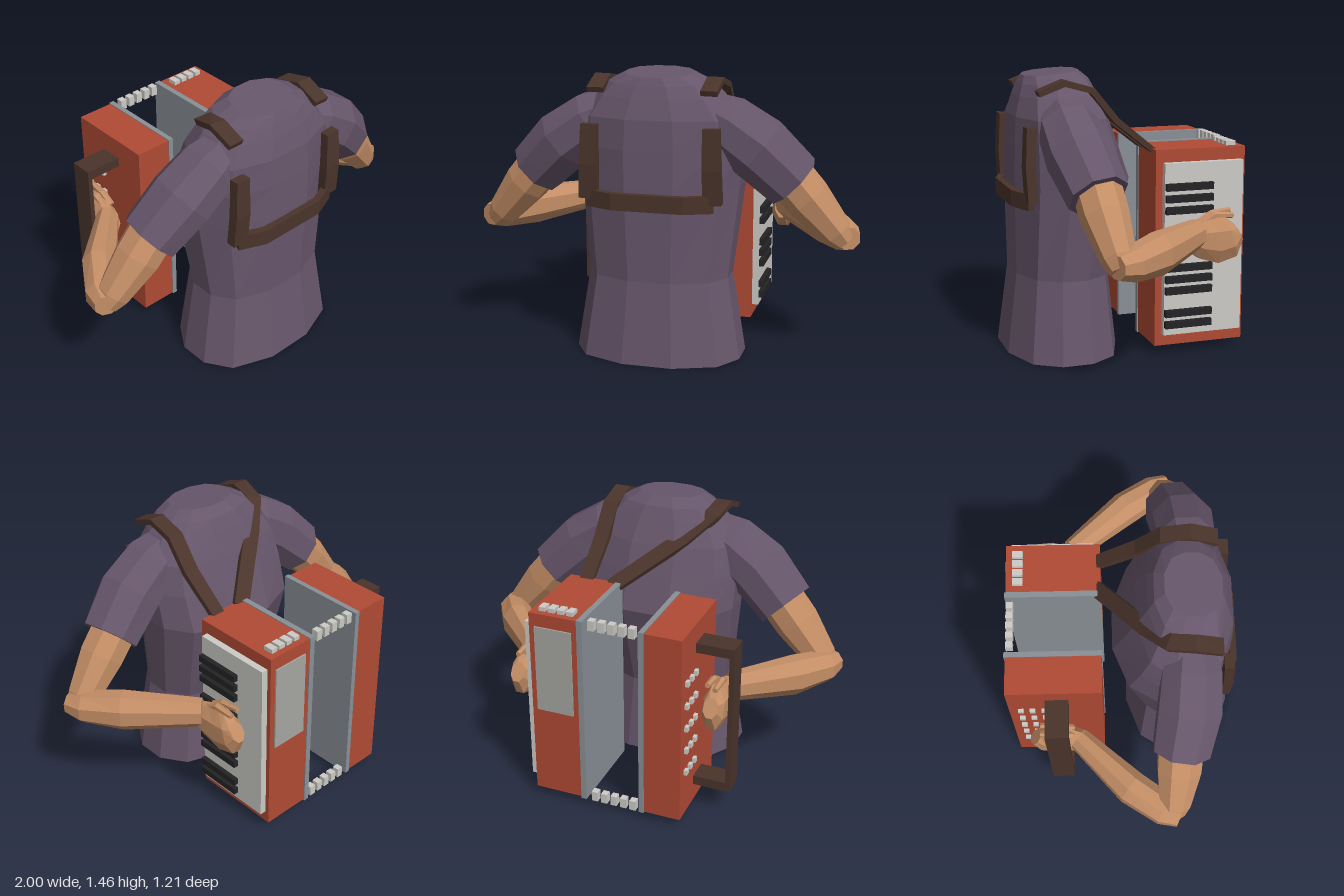
import * as THREE from 'three';

const mat = (name, color) => {
  const m = new THREE.MeshStandardMaterial({ color });
  m.name = name;
  return m;
};

// Flat-shaded skin over closed rings, capped at both ends
function loft(rings) {
  const pos = [];
  const tri = (...p) => p.forEach(v => pos.push(v.x, v.y, v.z));
  const n = rings[0].length;
  for (let r = 0; r + 1 < rings.length; r++) {
    for (let i = 0; i < n; i++) {
      const j = (i + 1) % n, a = rings[r], b = rings[r + 1];
      tri(a[i], a[j], b[j]);
      tri(a[i], b[j], b[i]);
    }
  }
  const first = rings[0], last = rings[rings.length - 1];
  for (let i = 1; i + 1 < n; i++) {
    tri(first[0], first[i + 1], first[i]);
    tri(last[0], last[i], last[i + 1]);
  }
  const g = new THREE.BufferGeometry();
  g.setAttribute('position', new THREE.Float32BufferAttribute(pos, 3));
  g.computeVertexNormals();
  return g;
}

// Limb or strap along points [x, y, z, radius along side, other radius]
function limb(points, sides, sideAxis) {
  const c = points.map(p => new THREE.Vector3(p[0], p[1], p[2]));
  const grow = sides === 4 ? Math.SQRT2 : 1;
  return loft(points.map((p, k) => {
    const t = c[Math.min(k + 1, c.length - 1)].clone().sub(c[Math.max(k - 1, 0)]).normalize();
    const nrm = t.clone().cross(new THREE.Vector3(...sideAxis)).normalize();
    const side = nrm.clone().cross(t);
    return Array.from({ length: sides }, (_, i) => {
      const a = (i + 0.5) / sides * Math.PI * 2;
      return c[k].clone()
        .addScaledVector(side, Math.cos(a) * p[3] * grow)
        .addScaledVector(nrm, Math.sin(a) * (p[4] ?? p[3]) * grow);
    });
  }));
}

export function createModel() {
  const model = new THREE.Group();
  const shirt = mat('shirt purple', 0x67566b), skin = mat('skin', 0xc48e66);
  const leather = mat('dark brown leather', 0x4a342b), red = mat('red casing', 0xb04a34);
  const grey = mat('grey frame', 0x899096), ivory = mat('ivory', 0xcccbc6);
  const black = mat('black keys', 0x242426), grilleGrey = mat('grille grey', 0xa6a6a2);

  const add = (name, geometry, material) => {
    const m = new THREE.Mesh(geometry, material);
    m.name = name;
    model.add(m);
    return m;
  };
  // Box from its limits on each axis
  const box = (name, material, x0, x1, y0, y1, z0, z1) =>
    add(name, new THREE.BoxGeometry(x1 - x0, y1 - y0, z1 - z0), material)
      .position.set((x0 + x1) / 2, (y0 + y1) / 2, (z0 + z1) / 2);

  // Torso: rows of [y, half width, z at back, z at chest, tilt]
  const outline = [[0.3, 1], [0.8, 0.73], [1, 0.27], [1, -0.27], [0.8, -0.73], [0.3, -1]];
  const loop = [...outline, ...outline.map(([x, z]) => [-x, z]).reverse()];
  const torsoRows = [
    [0, 0.43, 0.605, 0.02, 0], [0.42, 0.362, 0.55, 0.06, 0], [0.89, 0.41, 0.555, -0.055, 0],
    [1.08, 0.415, 0.55, 0.01, 0], [1.23, 0.395, 0.542, 0.065, 0], [1.34, 0.315, 0.515, 0.12, 0.012],
    [1.40, 0.25, 0.495, 0.15, 0.012], [1.442, 0.165, 0.478, 0.2, 0.013],
  ];
  add('torso', loft(torsoRows.map(([y, w, zb, zf, tilt]) => loop.map(([x, z]) =>
    new THREE.Vector3(x * w, y - z * tilt, (zb + zf) / 2 + z * (zb - zf) / 2)))), shirt);

  // Arms; the hand on the bass side sits a little further back
  for (const s of [1, -1]) {
    const name = s > 0 ? 'left' : 'right';
    const dz = s > 0 ? 0 : 0.035;
    add(name + 'Sleeve', limb([
      [s * 0.24, 1.24, 0.33, 0.12], [s * 0.34, 1.19, 0.33, 0.155],
      [s * 0.50, 1.08, 0.32, 0.168], [s * 0.67, 0.915, 0.28, 0.152],
    ], 8, [0, 0, 1]), shirt);
    add(name + 'UpperArm', limb([
      [s * 0.62, 0.97, 0.28, 0.12], [s * 0.74, 0.83, 0.27, 0.118],
      [s * 0.885, 0.66, 0.25, 0.085], [s * 0.93, 0.61, 0.25, 0.055],
    ], 8, [0, 0, 1]), skin);
    add(name + 'Forearm', limb([
      [s * 0.95, 0.64, 0.28, 0.06], [s * 0.915, 0.64, 0.2, 0.085],
      [s * 0.80, 0.65, 0.03, 0.108, 0.09], [s * 0.54, 0.665, -0.27 + dz, 0.078, 0.06],
    ], 8, [0, 1, 0]), skin);
    add(name + 'Hand', limb([
      [s * 0.535, 0.655, -0.24 + dz, 0.045, 0.07], [s * 0.525, 0.635, -0.3 + dz, 0.06, 0.105],
      [s * 0.52, 0.625, -0.39 + dz, 0.063, 0.13], [s * 0.52, 0.635, -0.46 + dz, 0.06, 0.115],
      [s * 0.52, 0.66, -0.5 + dz, 0.04, 0.055],
    ], 8, [1, 0, 0]), skin);
    for (let i = 0; i < 2; i++) {
      add(name + 'Finger', limb([
        [s * (0.49 + i * 0.04), 0.71, -0.3 + dz, 0.018], [s * (0.49 + i * 0.04), 0.75, -0.37 + dz, 0.02],
        [s * (0.49 + i * 0.04), 0.765 - i * 0.02, -0.47 + dz, 0.014],
      ], 6, [1, 0, 0]), skin);
    }

    // Harness strap on the back
    add(name + 'BackStrap', limb([
      [s * 0.315, 0.83, 0.515, 0.045, 0.025], [s * 0.31, 1.0, 0.525, 0.045, 0.025],
      [s * 0.305, 1.2, 0.515, 0.04, 0.025],
    ], 4, [1, 0, 0]), leather);
  }
  add('backBelt', limb([
    [-0.315, 0.83, 0.515, 0.042, 0.018], [-0.18, 0.83, 0.57, 0.042, 0.018],
    [0.18, 0.83, 0.57, 0.042, 0.018], [0.315, 0.83, 0.515, 0.042, 0.018],
  ], 4, [0, 1, 0]), leather);

  // Shoulder straps running down to the keyboard casing
  add('leftShoulderStrap', limb([
    [0.28, 1.36, 0.47, 0.042, 0.014], [0.285, 1.41, 0.34, 0.042, 0.016], [0.29, 1.37, 0.2, 0.042, 0.016],
    [0.295, 1.22, 0.08, 0.04, 0.016], [0.295, 1.05, -0.13, 0.036, 0.014],
  ], 4, [1, 0, 0]), leather);
  add('rightShoulderStrap', limb([
    [-0.29, 1.36, 0.47, 0.042, 0.014], [-0.29, 1.41, 0.34, 0.042, 0.016], [-0.27, 1.38, 0.22, 0.042, 0.016],
    [-0.15, 1.27, 0.11, 0.042, 0.016], [0.15, 1.05, -0.13, 0.04, 0.014],
  ], 4, [1, 0, 0]), leather);

  // Two casings with frame plates facing an open gap
  box('trebleCasing', red, 0.13, 0.39, 0.046, 1.07, -0.592, -0.108);
  box('bassCasing', red, -0.415, -0.22, 0.046, 1.07, -0.592, -0.108);
  box('trebleFrame', grey, 0.1, 0.13, 0.04, 1.075, -0.598, -0.104);
  box('bassFrame', grey, -0.22, -0.193, 0.04, 1.075, -0.598, -0.104);
  box('grille', grilleGrey, 0.16, 0.36, 0.53, 1.0, -0.6, -0.591);

  // Bellows ribs at top and bottom
  for (let i = 0; i < 5; i++) {
    const x = -0.155 + i * 0.053;
    for (const y of [0.062, 1.056])
      box('bellowsRib', ivory, x - 0.017, x + 0.017, y - 0.027, y + 0.027, -0.59, -0.553);
  }
  // Register switches
  for (let i = 0; i < 4; i++)
    box('registerSwitch', ivory, 0.165 + i * 0.05, 0.2 + i * 0.05, 1.065, 1.092, -0.558, -0.505);

  // Keyboard
  box('keyboard', ivory, 0.39, 0.425, 0.11, 1.005, -0.57, -0.145);
  for (const k of [0, 1, 3, 4, 5, 7, 8, 10, 11, 12]) {
    const y = 0.168 + k * 0.0598;
    box('blackKey', black, 0.42, 0.45, y - 0.018, y + 0.018, -0.4, -0.147);
  }

  // Bass buttons
  for (let r = 0; r < 5; r++)
    for (let c = 0; c < 3; c++) {
      const y = 0.305 + r * 0.127, z = -0.53 + c * 0.06;
      box('bassButton', ivory, -0.433, -0.41, y - 0.014, y + 0.014, z - 0.014, z + 0.014);
    }

  // Hand strap on the bass side
  box('handStrap', leather, -0.612, -0.588, 0.145, 0.965, -0.4, -0.28);
  for (const y of [0.145, 0.915])
    box('handStrapMount', leather, -0.59, -0.41, y, y + 0.05, -0.4, -0.28);

  return model;
}
